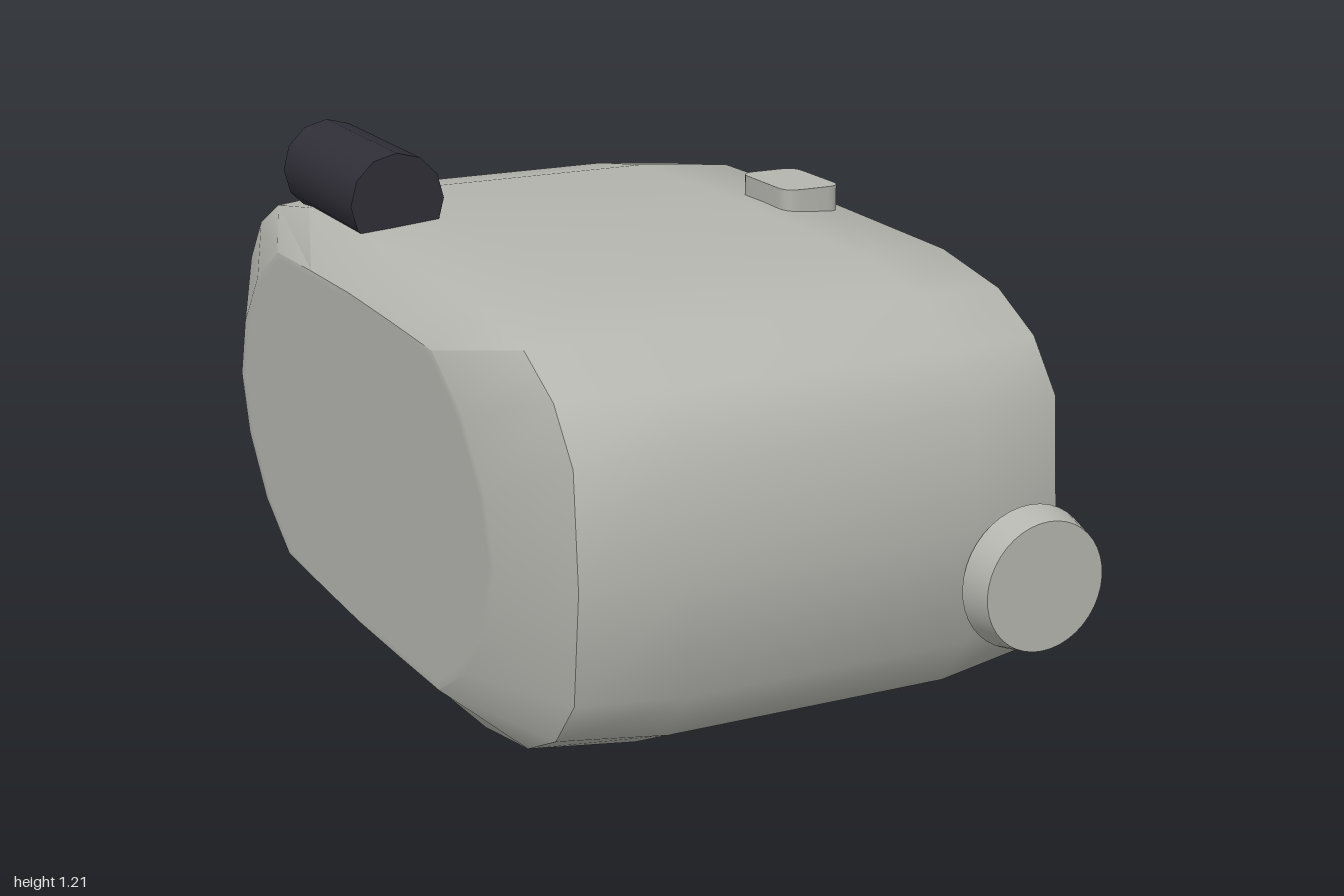
import * as THREE from 'three';
import { toCreasedNormals } from 'three/addons/utils/BufferGeometryUtils.js';

const lightGrey = new THREE.MeshStandardMaterial({ color: 0xb5b5af });
lightGrey.name = 'lightGrey';
const darkGrey = new THREE.MeshStandardMaterial({ color: 0x302e37 });
darkGrey.name = 'darkGrey';

// Quarter profiles as [half depth, half height], from the front edge up to the crown.
const middle = [[0.925, 0], [0.905, 0.23], [0.83, 0.335], [0.69, 0.405], [0.48, 0.44], [0, 0.45]];
const shoulder = [[0.885, 0], [0.865, 0.225], [0.785, 0.325], [0.66, 0.39], [0.46, 0.425], [0, 0.432]];
const end = [[0.71, 0], [0.67, 0.13], [0.57, 0.255], [0.43, 0.342], [0.22, 0.348], [0, 0.352]];
const inner = end.map(([z, y]) => [z * 0.96, y * 0.96]);

// Mirrors a quarter profile into a closed loop.
function loop(q) {
  const back = q.slice(0, -1).reverse().map(([z, y]) => [-z, y]);
  const half = [...q, ...back];
  return [...half, ...half.slice(1, -1).reverse().map(([z, y]) => [z, -y])];
}

// Rounded housing lofted from left to right.
function housingGeometry() {
  const sections = [[-0.595, inner], [-0.595, end], [-0.51, shoulder], [-0.3, middle],
    [0.3, middle], [0.51, shoulder], [0.595, end], [0.595, inner]];
  const pos = [], idx = [];
  let n = 0;
  for (const [x, q] of sections) {
    const ring = loop(q);
    n = ring.length;
    for (const [z, y] of ring) pos.push(x, 0.614 + y, 0.012 + z);
  }
  const last = sections.length - 1;
  const c0 = pos.length / 3;
  pos.push(-0.595, 0.614, 0.012, 0.595, 0.614, 0.012);
  for (let j = 0; j < n; j++) {
    const k = (j + 1) % n;
    for (let i = 0; i < last; i++) {
      const a = i * n + j, b = a + n, c = (i + 1) * n + k, d = i * n + k;
      idx.push(a, b, c, a, c, d);
    }
    idx.push(c0, j, k, c0 + 1, last * n + k, last * n + j);
  }
  const g = new THREE.BufferGeometry();
  g.setAttribute('position', new THREE.Float32BufferAttribute(pos, 3));
  g.setIndex(idx);
  return toCreasedNormals(g, 0.75);
}

// Upright plate with rounded corners in plan.
function plateGeometry(x0, x1, z0, z1, y0, y1, r) {
  const s = new THREE.Shape();
  s.moveTo(x0 + r, -z1);
  s.lineTo(x1 - r, -z1);
  s.quadraticCurveTo(x1, -z1, x1, -z1 + r);
  s.lineTo(x1, -z0 - r);
  s.quadraticCurveTo(x1, -z0, x1 - r, -z0);
  s.lineTo(x0 + r, -z0);
  s.quadraticCurveTo(x0, -z0, x0, -z0 - r);
  s.lineTo(x0, -z1 + r);
  s.quadraticCurveTo(x0, -z1, x0 + r, -z1);
  const g = new THREE.ExtrudeGeometry(s, { depth: y1 - y0, bevelEnabled: false, curveSegments: 5 });
  g.rotateX(-Math.PI / 2);
  g.translate(0, y0, 0);
  return toCreasedNormals(g, 0.7);
}

// Cylinder lying along z, with separate radii at its front and back.
function barrel(rFront, rBack, zFront, zBack, sides) {
  const g = new THREE.CylinderGeometry(rFront, rBack, zFront - zBack, sides);
  g.rotateX(Math.PI / 2);
  g.translate(0, 0, (zFront + zBack) / 2);
  return g;
}

export function createModel() {
  const model = new THREE.Group();
  const add = (name, geometry, material, x = 0, y = 0, z = 0) => {
    const mesh = new THREE.Mesh(geometry, material);
    mesh.name = name;
    mesh.position.set(x, y, z);
    model.add(mesh);
  };

  add('housing', housingGeometry(), lightGrey);

  // Round tapered ends
  add('frontEyepiece', barrel(0.131, 0.146, 1.0, 0.938, 40), lightGrey, 0.42, 0.506);
  add('rearLens', barrel(0.295, 0.272, -0.91, -1.0, 48), lightGrey, 0.207, 0.56);

  // Top controls
  add('topButton', plateGeometry(0.35, 0.485, -0.09, 0.112, 1.03, 1.102, 0.035), lightGrey);
  add('topCylinder', barrel(0.103, 0.103, -0.15, -0.56, 12), darkGrey, -0.422, 1.102);

  // Mounting foot, its two rails and the locating pin
  add('foot', plateGeometry(-0.35, 0.418, -0.257, 0.29, 0.045, 0.21, 0.035), lightGrey);
  for (const z of [-0.192, 0.226]) {
    add('footRail', new THREE.BoxGeometry(0.7, 0.04, 0.014), lightGrey, 0.034, 0.03, z);
  }
  add('footPin', new THREE.CylinderGeometry(0.036, 0.036, 0.05, 10), lightGrey, -0.212, 0.025, 0.017);

  return model;
}
